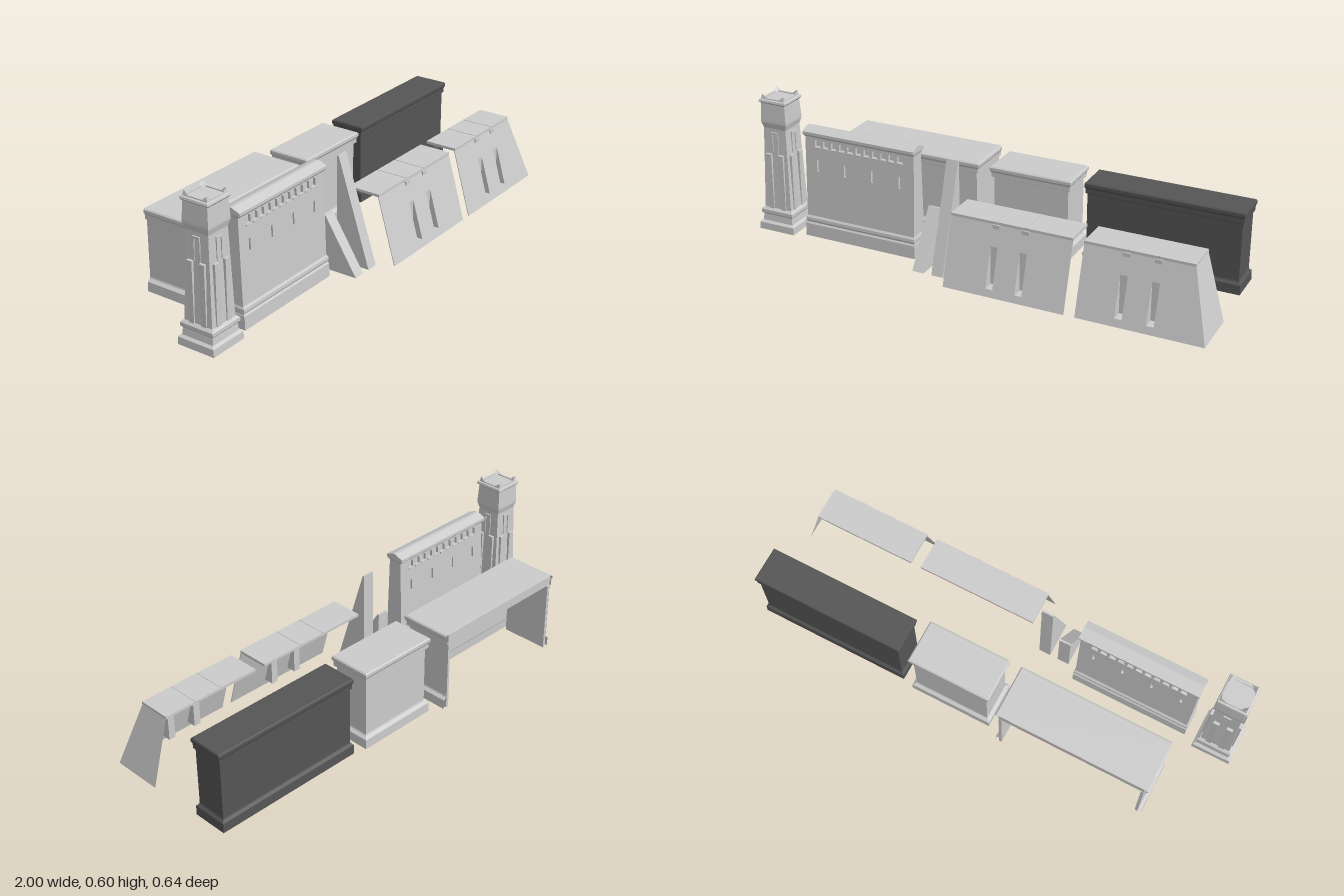
import * as THREE from 'three';

const solid = new THREE.MeshStandardMaterial({ color: 0xcccccc });
const thin = new THREE.MeshStandardMaterial({ color: 0xcccccc, side: THREE.DoubleSide });
const dark = new THREE.MeshStandardMaterial({ color: 0x555555 });

function add(parent, name, geometry, material = solid) {
  const mesh = new THREE.Mesh(geometry, material);
  mesh.name = name;
  parent.add(mesh);
  return mesh;
}

function group(parent, name) {
  const g = new THREE.Group();
  g.name = name;
  parent.add(g);
  return g;
}

// Box given by its limits
function box(x0, x1, y0, y1, z0, z1) {
  return new THREE.BoxGeometry(x1 - x0, y1 - y0, z1 - z0)
    .translate((x0 + x1) / 2, (y0 + y1) / 2, (z0 + z1) / 2);
}

// Flat faces, corners anticlockwise from outside
function quads(list) {
  const p = [];
  for (const [a, b, c, d] of list) p.push(...a, ...b, ...c, ...a, ...c, ...d);
  const g = new THREE.BufferGeometry();
  g.setAttribute('position', new THREE.Float32BufferAttribute(p, 3));
  g.computeVertexNormals();
  return g;
}

// Stack of rectangles [y, x0, x1, z0, z1]; openBack leaves the back and bottom off
function loft(rows, openBack = false) {
  const rings = rows.map(([y, x0, x1, z0, z1]) =>
    [[x0, y, z1], [x1, y, z1], [x1, y, z0], [x0, y, z0]]);
  const faces = [rings[rings.length - 1]];
  if (!openBack) faces.push([...rings[0]].reverse());
  for (let k = 0; k + 1 < rings.length; k++) {
    for (let i = 0; i < 4; i++) {
      if (openBack && i === 2) continue;
      const j = (i + 1) % 4;
      faces.push([rings[k][i], rings[k][j], rings[k + 1][j], rings[k + 1][i]]);
    }
  }
  return quads(faces);
}

function rectHole(cx, y0, y1, w) {
  return new THREE.Path([[-1, y0], [-1, y1], [1, y1], [1, y0]].map(([s, y]) => new THREE.Vector2(cx + s * w / 2, y)));
}

// Pierced panel whose outer face follows z = zAt(y)
function leaningPanel(corners, holes, depth, zAt) {
  const shape = new THREE.Shape(corners.map(c => new THREE.Vector2(...c)));
  shape.holes.push(...holes);
  const g = new THREE.ExtrudeGeometry(shape, { depth, bevelEnabled: false, curveSegments: 6 });
  const p = g.attributes.position;
  for (let i = 0; i < p.count; i++) p.setZ(i, p.getZ(i) - depth + zAt(p.getY(i)));
  g.computeVertexNormals();
  return g;
}

function buildTower(parent) {
  const t = group(parent, 'tower');
  t.position.set(-0.917, 0, 0.104);
  const stack = rows => loft(rows.map(([y, r]) => [y, -r, r, -r, r]));
  add(t, 'towerBase', stack([[0, 0.083], [0.03, 0.082], [0.038, 0.071], [0.066, 0.068],
    [0.074, 0.075], [0.088, 0.075], [0.097, 0.066]]));
  add(t, 'towerShaft', stack([[0.09, 0.063], [0.45, 0.052], [0.475, 0.059], [0.485, 0.059], [0.56, 0.055]]));
  add(t, 'towerCornice', stack([[0.555, 0.054], [0.565, 0.063], [0.573, 0.061], [0.575, 0.056]]));
  // Buttress and narrow framed window on each face
  for (let i = 0; i < 4; i++) {
    const side = group(t, 'towerSide');
    side.rotation.y = i * Math.PI / 2;
    for (const s of [-1, 1]) {
      add(side, 'towerButtress', box(s * 0.028 - 0.012, s * 0.028 + 0.012, 0.09, 0.34, 0.04, 0.067));
      add(side, 'windowJamb', box(s * 0.013 - 0.003, s * 0.013 + 0.003, 0.34, 0.43, 0.04, 0.058));
    }
    add(side, 'windowLintel', box(-0.016, 0.016, 0.425, 0.435, 0.04, 0.058));
    add(side, 'parapet', box(-0.05, 0.05, 0.573, 0.579, 0.045, 0.053));
    // Corner horn rising to an outer peak
    const a = [0.055, 0.574, 0.055], b = [0.055, 0.574, 0.022], c = [0.022, 0.574, 0.055];
    const top = [0.051, 0.596, 0.051], mid = [0.04, 0.574, 0.04];
    add(side, 'cornerHorn', quads([[a, b, top, top], [b, mid, top, top], [mid, c, top, top], [c, a, top, top]]), thin);
  }
}

function buildWall(parent) {
  const w = group(parent, 'loopholeWall');
  w.position.set(0, 0, 0.104);
  const x0 = -0.785, x1 = -0.283;
  const rows = list => loft(list.map(([y, r, e = 0]) => [y, x0 - e, x1 + e, -r, r]));
  const half = y => 0.042 - 0.036 * (y - 0.08);
  add(w, 'wallBase', rows([[0, 0.053, 0.005], [0.055, 0.051, 0.005], [0.062, 0.046, 0.003],
    [0.07, 0.049, 0.004], [0.082, 0.048, 0.004], [0.09, 0.042]]));
  add(w, 'wallCore', rows([[0.08, 0.031], [0.44, 0.018]]));
  add(w, 'wallCap', rows([[0.435, 0.028], [0.448, 0.041, 0.005], [0.46, 0.041, 0.005], [0.474, 0.006, 0.005]]));
  const holes = [];
  for (let i = 0; i < 11; i++) {
    const cx = -0.728 + i * 0.0382, p = new THREE.Path();
    p.moveTo(cx - 0.012, 0.398).lineTo(cx + 0.012, 0.398).lineTo(cx + 0.012, 0.42);
    p.absarc(cx, 0.42, 0.012, 0, Math.PI);
    p.closePath();
    holes.push(p);
    // Sill under each arch
    for (const s of [-1, 1]) {
      const z = s * half(0.394);
      add(w, 'archSill', box(cx - 0.014, cx + 0.014, 0.391, 0.397, z - 0.004, z + 0.004));
    }
  }
  for (let i = 0; i < 4; i++) holes.push(rectHole(-0.728 + i * 0.127, 0.29, 0.34, 0.009));
  const corners = [[x0, 0.085], [x1, 0.085], [x1, 0.44], [x0, 0.44]];
  add(w, 'wallFront', leaningPanel(corners, holes, 0.012, half), thin);
  // Back panel is the same panel mirrored
  add(w, 'wallBack', leaningPanel(corners, holes, 0.012, half), thin).scale.z = -1;
}

// Wedge-shaped prop
function buildProp(parent, x0, x1, height) {
  const shape = new THREE.Shape([[0, 0], [0.15, 0], [0.008, height], [0, height]].map(c => new THREE.Vector2(...c)));
  const g = new THREE.ExtrudeGeometry(shape, { depth: x1 - x0, bevelEnabled: false });
  add(parent, 'wedgeProp', g.rotateY(-Math.PI / 2).translate(x1, 0, 0.1));
}

// Hollow sloping rampart, open at the back; endTop < endBase gives a sloped end
function buildRampart(parent, x0, endBase, endTop, slots) {
  const r = group(parent, 'rampart');
  const slope = y => 0.315 - 0.29 * y;
  const lo = 0.03, hi = 0.19, w = 0.015, zb = slope(hi);
  add(r, 'slopedFace', leaningPanel([[x0, 0], [endBase, 0], [endTop, 0.275], [x0, 0.275]],
    slots.map(x => rectHole(x, lo, hi, 2 * w)), 0.003, slope), thin);
  add(r, 'walkway', box(x0, endTop, 0.274, 0.285, 0.098, 0.237));
  if (endTop < endBase) {
    add(r, 'slopedEnd', quads([[[endBase, 0, 0.315], [endBase, 0, 0.1],
      [endTop, 0.275, 0.1], [endTop, 0.275, 0.235]]]), thin);
  }
  for (const x of slots) {
    const a = x - w, b = x + w, zf = slope(lo);
    add(r, 'slotRecess', quads([
      [[a, lo, zf], [b, lo, zf], [b, lo, zb], [a, lo, zb]],
      [[a, lo, zb], [b, lo, zb], [b, hi, zb], [a, hi, zb]],
      [[a, lo, zf], [a, lo, zb], [a, hi, zb], [a, hi, zb]],
      [[b, lo, zb], [b, lo, zf], [b, hi, zb], [b, hi, zb]]]), thin);
    add(r, 'walkwayJoint', box(x - 0.004, x + 0.004, 0.284, 0.2865, 0.1, 0.236));
    add(r, 'slotBracket', box(x - 0.015, x + 0.015, 0.258, 0.274, 0.23, 0.243));
  }
}

// Moulded block: base, plain body and flared cornice
const moulding = [[0, 0.015], [0.04, 0.014], [0.05, 0.002], [0.056, 0], [0.295, 0], [0.3, 0.009],
  [0.318, 0.009], [0.328, 0.015], [0.34, 0.015], [0.345, 0.01]];

function buildBlock(parent, name, x0, x1, z0, z1, material, flare = 1, open = false) {
  const rows = moulding.map(([y, o]) => {
    const e = (0.015 - o) * flare;
    return [y, x0 + e, x1 - e, open ? z0 : z0 + e, z1 - e];
  });
  add(parent, name, loft(rows, open), material);
}

export function createModel() {
  const model = new THREE.Group();
  model.name = 'fortressWallSet';
  buildTower(model);
  buildWall(model);
  buildProp(model, -0.235, -0.185, 0.225);
  buildProp(model, -0.15, -0.1, 0.445);
  buildRampart(model, -0.065, 0.445, 0.445, [0.13, 0.253]);
  buildRampart(model, 0.49, 1, 0.925, [0.66, 0.785]);

  buildBlock(model, 'darkBlock', 0.335, 0.99, -0.275, -0.125, dark, 0.7);
  buildBlock(model, 'shortBlock', -0.07, 0.285, -0.29, -0.105, solid);

  // Open-backed block with side linings and a roof slab
  const o = group(model, 'openBackedBlock');
  buildBlock(o, 'openBlockShell', -0.775, -0.12, -0.325, -0.105, thin, 1, true);
  for (const x of [-0.76, -0.147]) add(o, 'sideLining', box(x, x + 0.012, 0, 0.3, -0.324, -0.12));
  add(o, 'roofSlab', box(-0.76, -0.135, 0.305, 0.343, -0.324, -0.12));
  return model;
}
